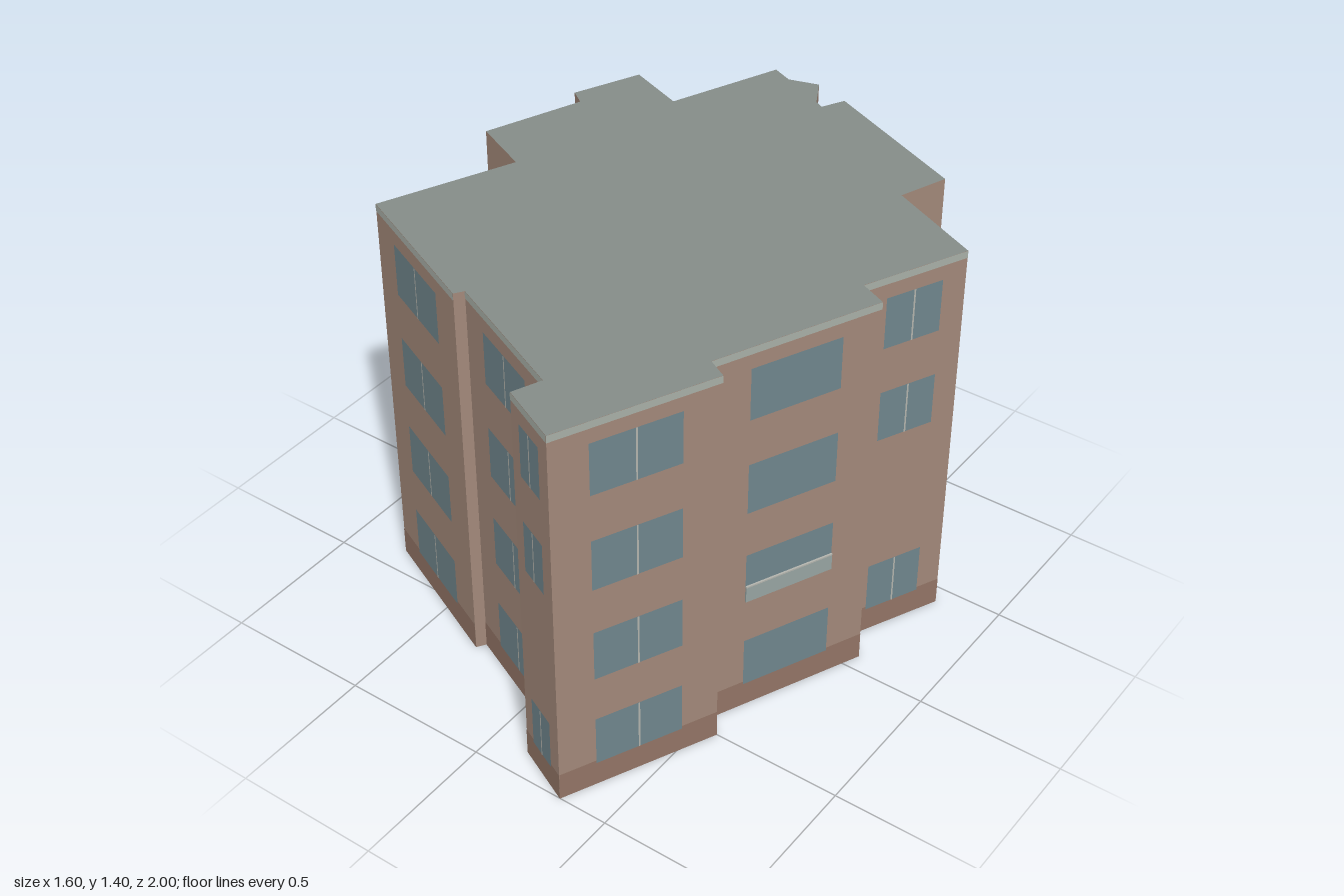
import * as THREE from 'three';

const HEIGHT = 1.4, PLINTH = 0.1, TRIM = 0.025;
const SILLS = [0.09, 0.44, 0.79, 1.14], WINDOW_H = 0.185;
const ALL = [0, 1, 2, 3], NO_SECOND = [0, 2, 3];

const mat = (color, side = THREE.FrontSide) => new THREE.MeshStandardMaterial({ color, side });
const materials = {
  wall: mat(0xa3897a, THREE.DoubleSide),
  plinth: mat(0x937566),
  trim: mat(0xa9b0a8),
  roof: mat(0x858d89, THREE.DoubleSide),
  glass: mat(0x70868d),
  mullion: mat(0xb4b5ae),
  rail: mat(0x98a5a3),
};

// Footprint corners [x, z], each with what the wall to the next corner carries.
const corners = [
  [-0.27, -1.0], [-0.2, -0.97], [-0.1, -1.0], [-0.045, -0.9], [-0.015, -0.885],
  [0.025, -0.96, { rows: ALL, balcony: true }],
  [0.535, -0.74],
  [0.475, -0.58, { rows: NO_SECOND }],
  [0.795, -0.435, { rows: NO_SECOND }],
  [0.64, -0.1],
  [0.73, -0.06, { rows: ALL, balcony: true }],
  [0.495, 0.465],
  [0.56, 0.5, { rows: ALL }],
  [0.33, 1.0, { rows: NO_SECOND }],
  [0.13, 0.905],
  [0.17, 0.81, { rows: ALL }],
  [-0.28, 0.605],
  [-0.3, 0.635, { rows: ALL }],
  [-0.8, 0.405, { rows: ALL }],
  [-0.605, -0.035],
  [-0.8, -0.125, { rows: ALL }],
  [-0.67, -0.45],
  [-0.72, -0.485, { rows: NO_SECOND }],
  [-0.62, -0.705],
  [-0.425, -0.63, { rows: ALL }],
];

// Upright panel in a wall's own frame: bottom at y, pushed out by z.
function panel(name, material, w, h, y, z) {
  const mesh = new THREE.Mesh(new THREE.PlaneGeometry(w, h), material);
  mesh.name = name;
  mesh.position.set(0, y + h / 2, z);
  return mesh;
}

function makeWall(a, b) {
  const dx = b[0] - a[0], dz = b[1] - a[1];
  const length = Math.hypot(dx, dz);
  const wall = new THREE.Group();
  wall.name = 'wall';
  wall.position.set((a[0] + b[0]) / 2, 0, (a[1] + b[1]) / 2);
  wall.rotation.y = Math.atan2(dz, -dx);
  wall.add(panel('wallFace', materials.wall, length, HEIGHT, 0, 0));

  const facade = a[2];
  if (!facade) return wall;

  wall.add(panel('plinth', materials.plinth, length, PLINTH, 0, 0.001));
  wall.add(panel('roofTrim', materials.trim, length, TRIM, HEIGHT - TRIM, 0.001));

  // Windows fill the middle of the wall; balcony walls have undivided glass.
  const w = length * 0.54;
  for (const row of facade.rows) {
    wall.add(panel('window', materials.glass, w, WINDOW_H, SILLS[row], 0.002));
    if (!facade.balcony) {
      wall.add(panel('mullion', materials.mullion, 0.006, WINDOW_H, SILLS[row], 0.003));
    }
  }

  // Shallow railing in front of the second-floor window
  if (facade.balcony) {
    const rail = new THREE.Mesh(new THREE.BoxGeometry(w, 0.06, 0.006), materials.rail);
    rail.name = 'balconyRail';
    rail.position.set(0, SILLS[1] + 0.03, 0.004);
    const cap = new THREE.Mesh(new THREE.BoxGeometry(w, 0.005, 0.008), materials.mullion);
    cap.name = 'railCap';
    cap.position.set(0, SILLS[1] + 0.06, 0.004);
    wall.add(rail, cap);
  }
  return wall;
}

export function createModel() {
  const model = new THREE.Group();
  model.name = 'apartmentBlock';

  // Walls, open at the bottom
  corners.forEach((a, i) => model.add(makeWall(a, corners[(i + 1) % corners.length])));

  // Flat roof
  const outline = new THREE.Shape(corners.map(([x, z]) => new THREE.Vector2(x, -z)));
  const roof = new THREE.Mesh(new THREE.ShapeGeometry(outline).rotateX(-Math.PI / 2), materials.roof);
  roof.name = 'roof';
  roof.position.y = HEIGHT;
  model.add(roof);

  return model;
}
